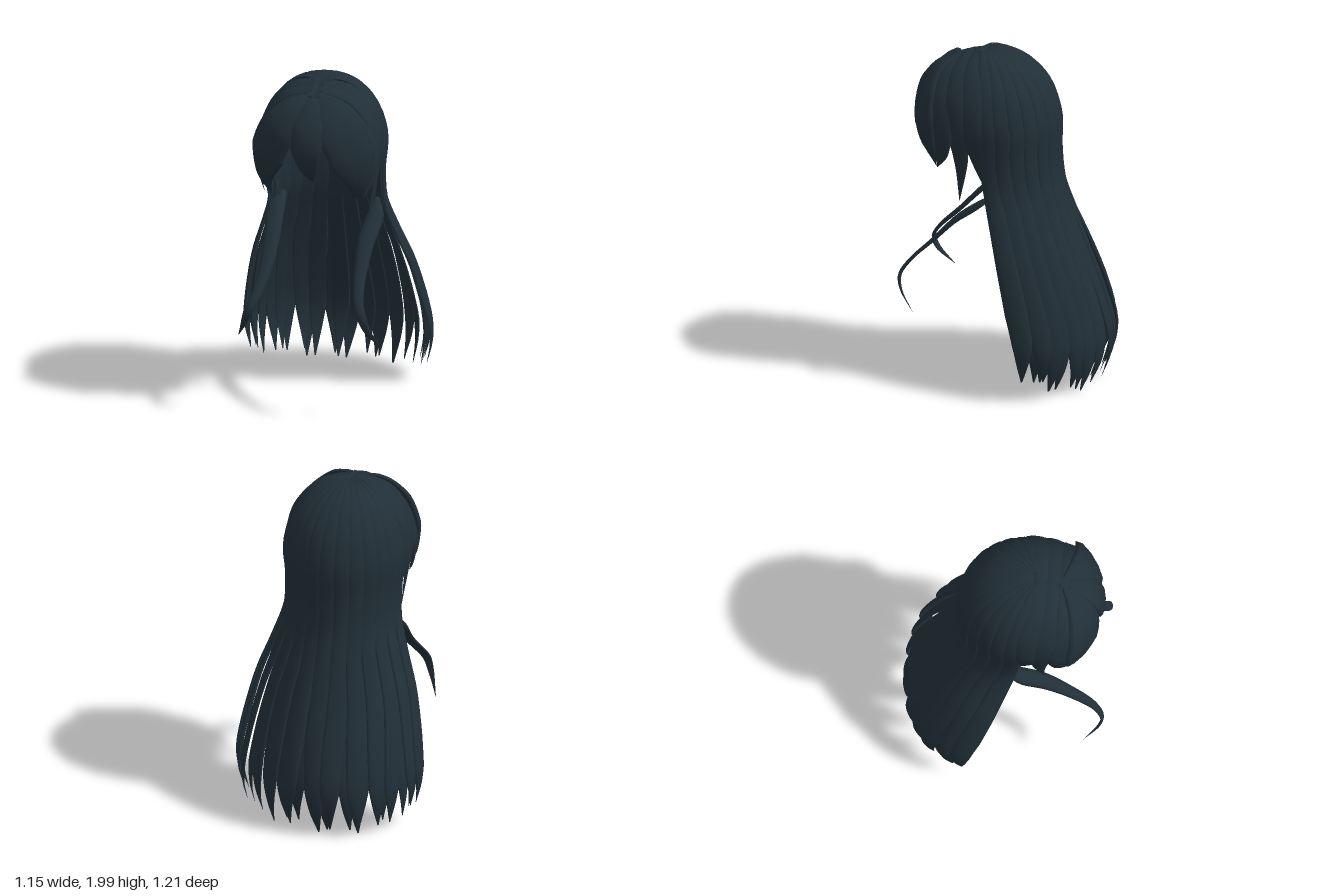
import * as THREE from 'three';

const hairMaterial = new THREE.MeshStandardMaterial({ color: 0x212f38 });
hairMaterial.name = 'dark slate hair';

// Half-ring guides of the back hair, crown to tips: y, centre z, half width, depth
const RINGS = [
  [1.965, 0.23, 0.0, 0.0], [1.99, 0.18, 0.09, 0.09], [1.93, 0.15, 0.21, 0.235],
  [1.79, 0.12, 0.31, 0.33], [1.6, 0.1, 0.355, 0.37], [1.4, 0.1, 0.34, 0.372],
  [1.2, 0.07, 0.345, 0.362], [1.0, 0.01, 0.405, 0.36], [0.8, -0.055, 0.475, 0.365],
  [0.55, -0.125, 0.53, 0.39], [0.3, -0.17, 0.56, 0.415], [0.15, -0.17, 0.56, 0.41],
  [0.0, -0.165, 0.54, 0.365],
];
const SIDES = 10;

// Centre line of the hair mass at a height, used to find the outward direction
function centreZ(y) {
  if (y >= 1.6) return 0.12;
  for (let i = 5; i < RINGS.length; i++) {
    const [y1, z1] = RINGS[i], [y0, z0] = RINGS[i - 1];
    if (y >= y1) return z1 + (z0 - z1) * (y - y1) / (y0 - y1);
  }
  return -0.165;
}

// A tapering lock with a lens-shaped section, swept along a smooth path
function lock(name, path, widths, { steps = 30, ratio = 0.28, out = null, focus = null } = {}) {
  const curve = new THREE.CatmullRomCurve3(path.map(p => new THREE.Vector3(...p)));
  const pos = [], index = [];
  for (let i = 0; i <= steps; i++) {
    const t = i / steps;
    const p = curve.getPoint(t), T = curve.getTangent(t);
    const O = out ? out.clone()
      : p.clone().sub(new THREE.Vector3(0, Math.min(p.y, 1.6), focus ?? centreZ(p.y)));
    const S = new THREE.Vector3().crossVectors(T, O).normalize();
    const N = new THREE.Vector3().crossVectors(S, T);
    const f = t * (widths.length - 1), k = Math.min(Math.floor(f), widths.length - 2);
    const w = THREE.MathUtils.lerp(widths[k], widths[k + 1], f - k);
    for (let j = 0; j < SIDES; j++) {
      const a = j / SIDES * Math.PI * 2, s = Math.sin(a);
      const q = p.clone().addScaledVector(S, w * Math.cos(a))
        .addScaledVector(N, w * ratio * (s > 0 ? s : s * 0.2));
      pos.push(q.x, q.y, q.z);
      if (i < steps) {
        const A = i * SIDES + j, B = i * SIDES + (j + 1) % SIDES;
        index.push(A, A + SIDES, B, B, A + SIDES, B + SIDES);
      }
    }
  }
  const g = new THREE.BufferGeometry();
  g.setAttribute('position', new THREE.Float32BufferAttribute(pos, 3));
  g.setIndex(index);
  g.computeVertexNormals();
  const mesh = new THREE.Mesh(g, hairMaterial);
  mesh.name = name;
  return mesh;
}

// A lock of back hair that follows the ring guides at one angle
function backLock(name, angle, spread, tipY, sway, first, inset) {
  const path = [], widths = [];
  for (let i = first; i < RINGS.length; i++) {
    const [y, cz, rx, rz] = RINGS[i];
    const a = angle + sway * Math.max(0, 0.8 - y);
    const yy = y < 0.55 ? tipY + y * (0.55 - tipY) / 0.55 : y;
    path.push([Math.cos(a) * (rx - inset), yy, cz - Math.sin(a) * (rz - inset)]);
    const taper = y === 0 ? 0.02 : y < 0.2 ? 0.5 : y < 0.4 ? 0.85 : 1;
    widths.push(Math.max(0.004, (rx + rz) / 2 * spread * 0.62 * taper));
  }
  return lock(name, path, widths, { steps: 44, ratio: 0.26 });
}

export function createModel() {
  const model = new THREE.Group();
  model.name = 'longHair';

  // Outer layer of long back hair
  const back = new THREE.Group();
  back.name = 'backHair';
  const count = 13, spread = Math.PI / count;
  for (let i = 0; i < count; i++) {
    const a = (i + 0.5) * spread;
    const tip = 0.13 * Math.cos(a) ** 4 + (i % 2 ? 0.025 : 0.0);
    back.add(backLock('backLock', a, spread, tip, 0.08 * Math.sin(i * 2.4), 0, 0));
  }
  // Inner layer that fills between the outer locks
  for (let i = 0; i < count - 1; i++) {
    const a = (i + 1) * spread;
    const tip = 0.03 + 0.1 * Math.cos(a) ** 4 + 0.025 * Math.sin(i * 1.7);
    back.add(backLock('innerBackLock', a, spread * 0.85, tip, 0.09 * Math.cos(i * 1.9), 3, 0.02));
  }
  model.add(back);

  // Fringe: the middle lock
  model.add(lock('middleFringe',
    [[0, 1.945, 0.31], [0, 1.89, 0.44], [0, 1.78, 0.53], [0, 1.65, 0.565], [0.01, 1.53, 0.54], [0.025, 1.44, 0.485]],
    [0.015, 0.06, 0.1, 0.09, 0.05, 0.001]));

  for (const s of [1, -1]) {
    const name = s > 0 ? 'left' : 'right';
    const add = (part, pts, widths, opt) =>
      model.add(lock(name + part, pts.map(([x, y, z]) => [x * s, y, z]), widths, opt));

    // Wide swept fringe and the lock behind it
    add('Fringe',
      [[-0.02, 1.935, 0.34], [0.1, 1.87, 0.435], [0.195, 1.75, 0.475], [0.26, 1.6, 0.465], [0.285, 1.45, 0.43], [0.25, 1.32, 0.4]],
      [0.03, 0.1, 0.145, 0.145, 0.085, 0.001]);
    add('Temple',
      [[-0.03, 1.945, 0.34], [0.18, 1.875, 0.355], [0.295, 1.73, 0.355], [0.34, 1.57, 0.345], [0.33, 1.43, 0.35], [0.3, 1.33, 0.38]],
      [0.04, 0.06, 0.08, 0.08, 0.05, 0.001], { focus: 0.26 });

    // Locks combed sideways over the crown
    add('SideLock',
      [[-0.03, 1.96, 0.28], [0.19, 1.905, 0.27], [0.31, 1.77, 0.26], [0.35, 1.6, 0.25], [0.33, 1.4, 0.225], [0.29, 1.13, 0.245]],
      [0.045, 0.06, 0.07, 0.065, 0.045, 0.001], { focus: 0.2 });
    add('CrownLock',
      [[-0.03, 1.975, 0.21], [0.19, 1.925, 0.19], [0.315, 1.78, 0.165], [0.355, 1.6, 0.15], [0.345, 1.48, 0.135], [0.33, 1.36, 0.1]],
      [0.045, 0.06, 0.075, 0.075, 0.06, 0.001], { focus: 0.14 });
    // Thin wisp below the ear
    add('Wisp',
      [[0.335, 1.6, 0.17], [0.32, 1.45, 0.15], [0.3, 1.3, 0.1], [0.28, 1.16, 0.05]],
      [0.04, 0.035, 0.025, 0.001]);

    // Long tendril sweeping forward, hooked at the tip
    add('Tendril',
      [[0.28, 1.2, -0.01], [0.3, 1.125, 0.1], [0.285, 1.015, 0.25], [0.285, 0.865, 0.4], [0.31, 0.73, 0.54],
        [0.345, 0.65, 0.59], [0.375, 0.57, 0.575], [0.43, 0.455, 0.49]],
      [0.02, 0.055, 0.052, 0.04, 0.03, 0.028, 0.02, 0.001],
      { out: new THREE.Vector3(0, 0.3, 1), ratio: 0.55 });
  }
  return model;
}
